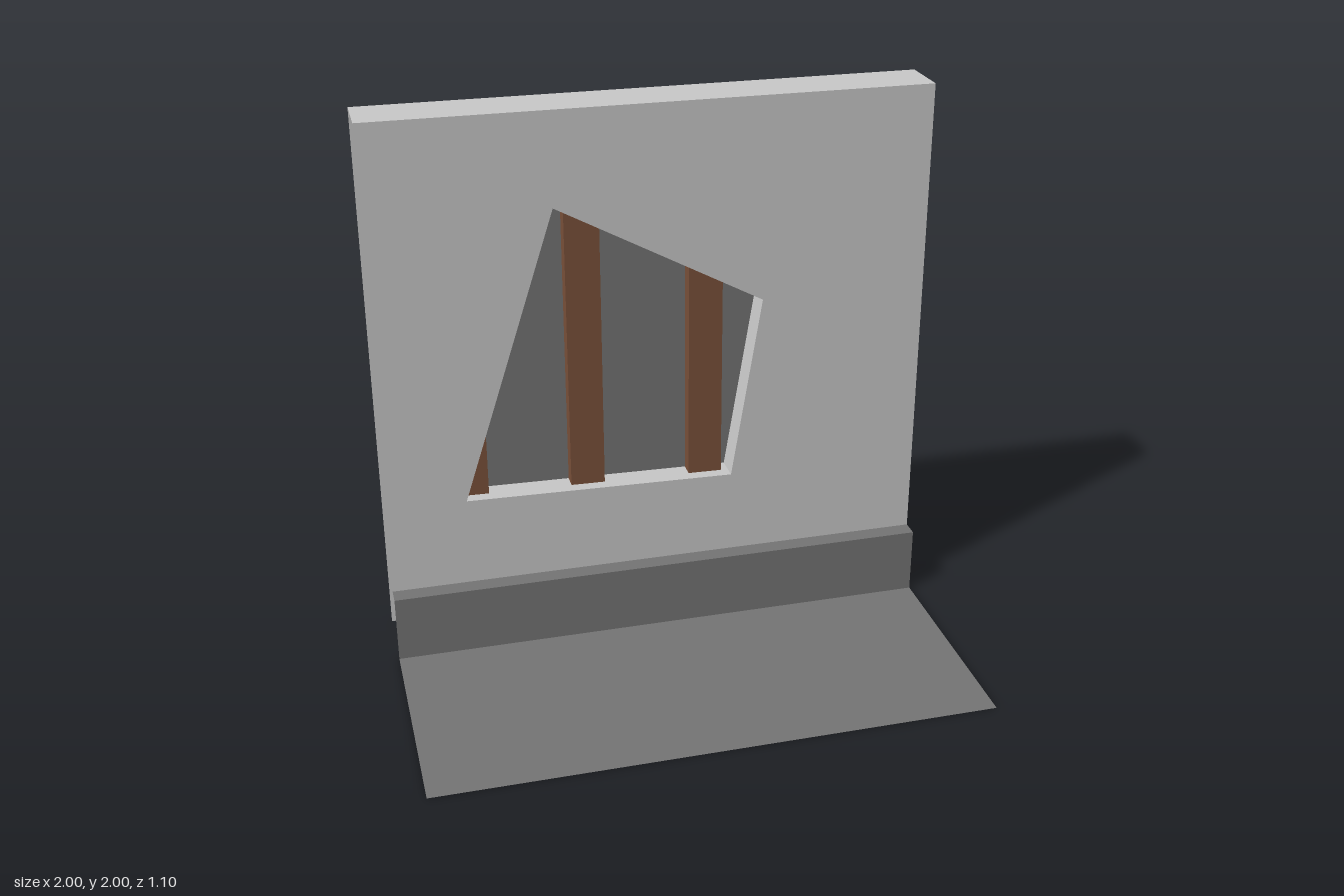
import * as THREE from 'three';

const W = 2, BACK = -0.55, FRONT = -0.35, RECESS = -0.45, BASE = -0.285, END = 0.55, SKIRT = 0.25;

function paint(name, color) {
  const m = new THREE.MeshStandardMaterial({ color, side: THREE.DoubleSide });
  m.name = name;
  return m;
}

export function createModel() {
  const group = new THREE.Group();
  const plaster = paint('light grey plaster', 0xc9c9c9);
  const dark = paint('dark grey', 0x757575);
  const wood = paint('brown wood', 0x7b513a);

  function add(name, geometry, material, x = 0, y = 0, z = 0) {
    const mesh = new THREE.Mesh(geometry, material);
    mesh.name = name;
    mesh.position.set(x, y, z);
    group.add(mesh);
    return mesh;
  }
  const upright = (name, mat, y0, y1, z) =>
    add(name, new THREE.PlaneGeometry(W, y1 - y0), mat, 0, (y0 + y1) / 2, z);
  const level = (name, mat, y, z0, z1) =>
    add(name, new THREE.PlaneGeometry(W, z1 - z0).rotateX(-Math.PI / 2), mat, 0, y, (z0 + z1) / 2);

  // Jagged four-sided opening in the wall
  const corners = [[-0.36, 1.66], [-0.71, 0.585], [0.28, 0.565], [0.39, 1.255]]
    .map(([x, y]) => new THREE.Vector2(x, y));

  // Front wall sheet with the opening cut out
  const sheet = new THREE.Shape([[-1, SKIRT], [1, SKIRT], [1, 2], [-1, 2]]
    .map(([x, y]) => new THREE.Vector2(x, y)));
  sheet.holes.push(new THREE.Path(corners));
  add('wallFront', new THREE.ShapeGeometry(sheet), plaster, 0, 0, FRONT);
  upright('wallBack', plaster, 0, 2, BACK).rotation.y = Math.PI;
  level('wallTop', plaster, 2, BACK, FRONT);

  // Broken edges running from the wall face to the recess
  corners.forEach((a, i) => {
    const b = corners[(i + 1) % corners.length];
    const depth = FRONT - RECESS;
    const edge = new THREE.PlaneGeometry(a.distanceTo(b), depth)
      .rotateX(-Math.PI / 2)
      .rotateZ(Math.atan2(b.y - a.y, b.x - a.x));
    add('holeEdge' + (i + 1), edge, plaster, (a.x + b.x) / 2, (a.y + b.y) / 2, FRONT - depth / 2);
  });
  add('recessPanel', new THREE.ShapeGeometry(new THREE.Shape(corners)), dark, 0, 0, RECESS);

  // Wooden studs inside the wall: centre x, top y
  [[-0.685, 0.95], [-0.255, 1.66], [0.19, 1.445]].forEach(([x, top], i) => {
    const bottom = 0.52;
    add('stud' + (i + 1), new THREE.BoxGeometry(0.125, top - bottom, 0.055), wood,
      x, (top + bottom) / 2, RECESS + 0.0285);
  });

  // Skirting board and floor
  upright('skirtingFront', dark, 0, SKIRT, BASE);
  level('skirtingTop', dark, SKIRT, FRONT, BASE);
  level('floor', dark, 0, BASE, END);

  return group;
}
